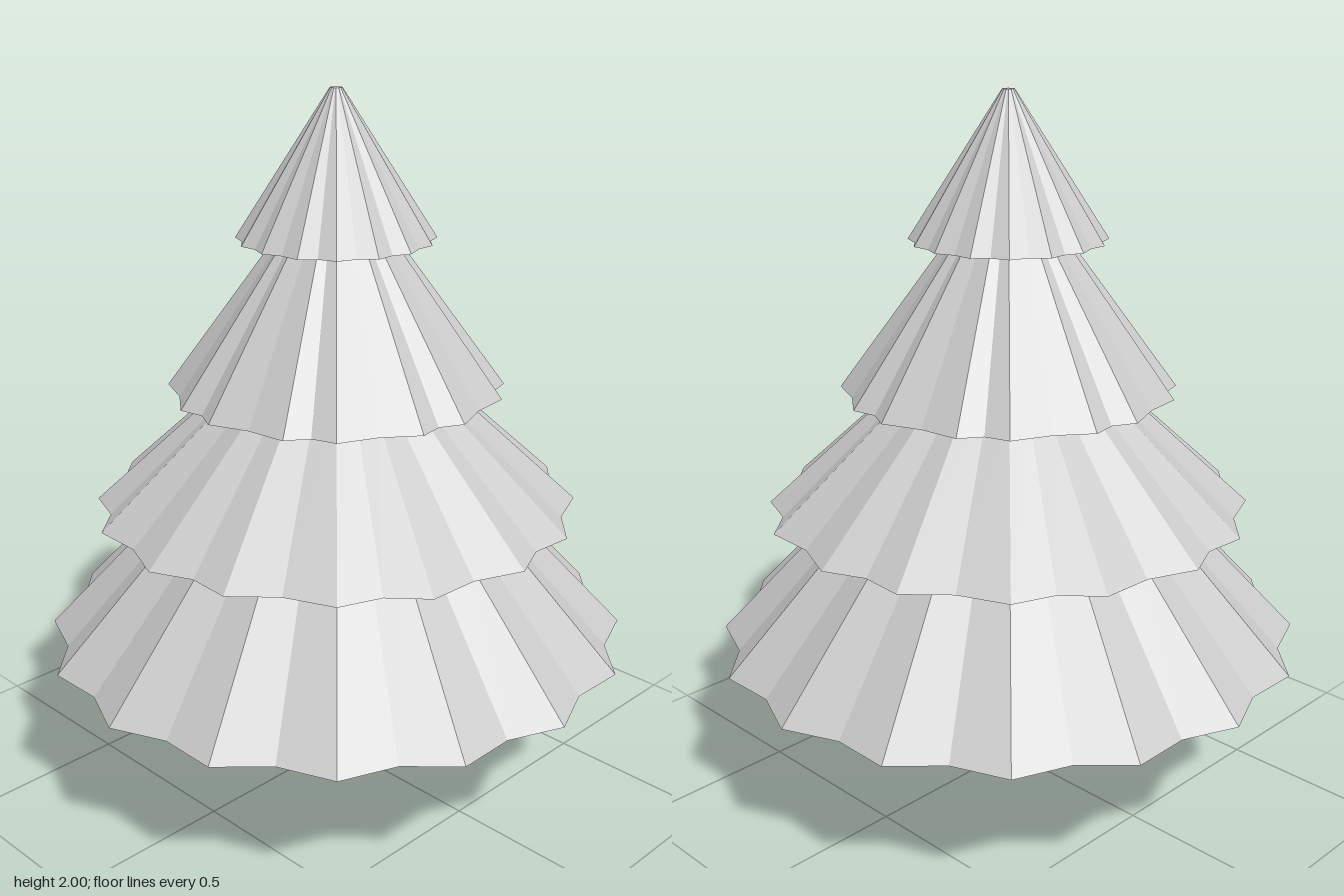
import * as THREE from 'three';

const material = new THREE.MeshStandardMaterial({ color: 0xcccccc, flatShading: true });

// Name, base height, top height, base radius, top radius, twist of every second pleat (degrees)
const TIERS = [
  ['bottomTier', 0.43, 0.83, 0.845, 0.47, 0],
  ['lowerMiddleTier', 0.83, 1.18, 0.69, 0.31, -1.9],
  ['upperMiddleTier', 1.18, 1.6, 0.473, 0.165, 5.7],
  ['topTier', 1.6, 2.0, 0.275, 0.017, 1],
];
const PLEATS = 16;
const GROOVE = 0.94; // groove radius relative to the ridges

function addMesh(group, name, geometry) {
  const flat = geometry.toNonIndexed();
  flat.computeVertexNormals();
  const mesh = new THREE.Mesh(flat, material);
  mesh.name = name;
  group.add(mesh);
}

// Closed cone section whose rim alternates between ridges and grooves
function pleatedCone(bottom, top, baseRadius, topRadius, twist) {
  const geometry = new THREE.CylinderGeometry(topRadius, baseRadius, top - bottom, PLEATS * 2);
  const p = geometry.attributes.position;
  for (let i = 0; i < p.count; i++) {
    const x = p.getX(i), z = p.getZ(i);
    const r = Math.hypot(x, z);
    if (r < 1e-6) continue; // cap centres stay on the axis
    const angle = Math.atan2(x, z);
    const k = (Math.round(angle / (Math.PI / PLEATS)) + 2 * PLEATS) % 4;
    const shift = THREE.MathUtils.degToRad(twist) * [0, 0.5, 1, 0.5][k];
    const radius = k % 2 ? r * GROOVE : r;
    p.setX(i, radius * Math.sin(angle + shift));
    p.setZ(i, radius * Math.cos(angle + shift));
  }
  geometry.translate(0, (bottom + top) / 2, 0);
  return geometry;
}

export function createModel() {
  const tree = new THREE.Group();
  tree.name = 'pineTree';

  // Octagonal trunk
  addMesh(tree, 'trunk', new THREE.CylinderGeometry(0.12, 0.12, 0.43, 8).translate(0, 0.215, 0));

  // Stacked foliage tiers
  for (const [name, ...size] of TIERS) addMesh(tree, name, pleatedCone(...size));

  return tree;
}
